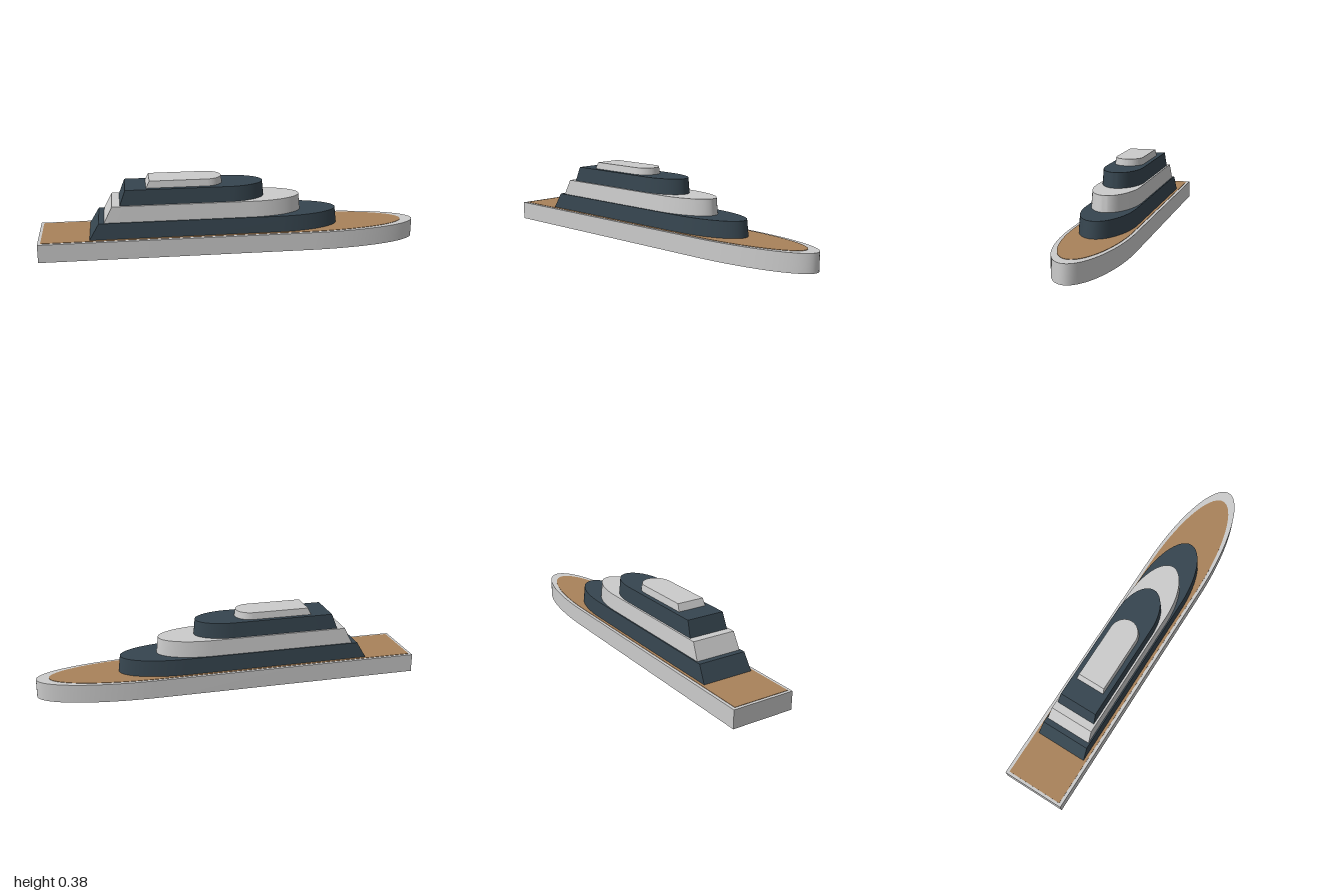
import * as THREE from 'three';
import { toCreasedNormals } from 'three/addons/utils/BufferGeometryUtils.js';

const BOW_STEPS = 40;

// Plan outline: square stern, straight sides, half-elliptical bow (counter-clockwise from above).
function outline({ stern, curve, bow, width }, y) {
  const points = [new THREE.Vector3(stern, y, -width), new THREE.Vector3(stern, y, width)];
  for (let i = 0; i <= BOW_STEPS; i++) {
    const a = Math.PI * (0.5 - i / BOW_STEPS);
    points.push(new THREE.Vector3(curve + (bow - curve) * Math.cos(a), y, width * Math.sin(a)));
  }
  return points;
}

// Solid between two plan outlines, with flat caps.
function loft(bottom, y0, top, y1) {
  const a = outline(bottom, y0), b = outline(top, y1);
  const n = a.length, corners = [];
  for (let i = 0; i < n; i++) {
    const j = (i + 1) % n;
    corners.push(a[i], a[j], b[j], a[i], b[j], b[i]);
    if (i > 0 && j > 0) corners.push(b[0], b[i], b[j], a[0], a[j], a[i]);
  }
  const geometry = new THREE.BufferGeometry().setFromPoints(corners);
  return toCreasedNormals(geometry, 0.6);
}

const plan = (stern, curve, bow, width) => ({ stern, curve, bow, width });

export function createModel() {
  const group = new THREE.Group();
  const grey = new THREE.MeshStandardMaterial({ color: 0xcccccc });
  const navy = new THREE.MeshStandardMaterial({ color: 0x36454f });
  const wood = new THREE.MeshStandardMaterial({ color: 0xa9825a });

  const add = (name, material, bottom, y0, top, y1) => {
    const mesh = new THREE.Mesh(loft(bottom, y0, top, y1), material);
    mesh.name = name;
    group.add(mesh);
  };

  // Hull and inset deck planking
  const hull = plan(-1, 0.4, 1, 0.168);
  const deck = plan(-0.985, 0.38, 0.935, 0.152);
  add('hull', grey, hull, 0, hull, 0.096);
  add('deck', wood, deck, 0.09, deck, 0.098);

  // Stacked superstructure tiers, tapering upwards with a raked stern
  add('lowerTier', navy, plan(-0.74, 0.24, 0.577, 0.138), 0.096, plan(-0.69, 0.24, 0.567, 0.131), 0.182);
  add('middleTier', grey, plan(-0.662, 0.1, 0.375, 0.124), 0.182, plan(-0.62, 0.1, 0.367, 0.118), 0.266);
  add('upperTier', navy, plan(-0.58, -0.02, 0.177, 0.108), 0.266, plan(-0.55, -0.02, 0.17, 0.102), 0.346);
  add('roofCabin', grey, plan(-0.442, -0.13, -0.044, 0.078), 0.346, plan(-0.425, -0.13, -0.049, 0.073), 0.382);

  return group;
}
